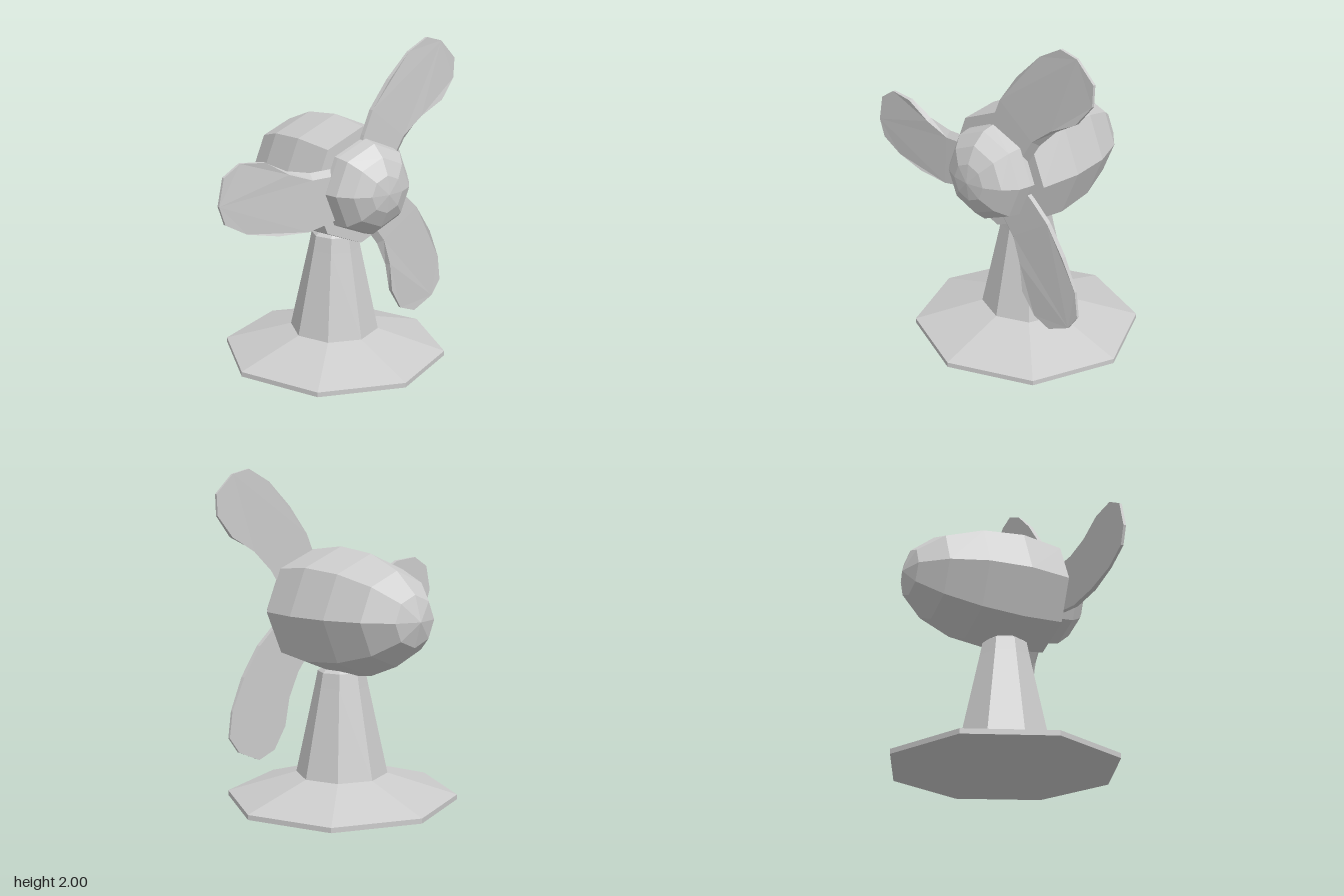
import * as THREE from 'three';

const AXIS_Y = 1.15, AXIS_Z = -0.147;
const material = new THREE.MeshStandardMaterial({ color: 0xcccccc, flatShading: true });

// Eight-sided turned part; profile pairs are [radius, height].
function turned(name, profile) {
  const points = profile.map(([r, h]) => new THREE.Vector2(r, h));
  const mesh = new THREE.Mesh(new THREE.LatheGeometry(points, 8), material);
  mesh.name = name;
  return mesh;
}

// Curved blade: thins towards the tip, with a bevel along the concave edge near the root.
function bladeGeometry() {
  const outline = [
    [-0.1, 0.13], [-0.24, 0.138], [-0.384, 0.138], [-0.548, 0.175], [-0.706, 0.254],
    [-0.865, 0.27], [-0.971, 0.206], [-1.005, 0.048], [-0.968, -0.063],
    [-0.828, -0.143], [-0.622, -0.19], [-0.41, -0.206], [-0.257, -0.18], [-0.1, -0.14],
  ];
  const shape = new THREE.Shape(outline.map(([x, y]) => new THREE.Vector2(x, y)));
  const geometry = new THREE.ExtrudeGeometry(shape, { depth: 1, bevelEnabled: false });
  const p = geometry.attributes.position;
  for (let i = 0; i < p.count; i++) {
    if (p.getZ(i) < 0.5) continue;
    const x = p.getX(i), y = p.getY(i);
    p.setZ(i, x < -0.8 ? 0.017 : 0.03);
    if (y > 0 && x > -0.65) p.setY(i, y - (x > -0.5 ? 0.038 : 0.015));
  }
  geometry.computeVertexNormals();
  return geometry;
}

export function createModel() {
  const model = new THREE.Group();
  model.name = 'deskFan';

  // Stand
  const base = turned('base', [[0, 0], [0.705, 0], [0.705, 0.03], [0.28, 0.16], [0, 0.16]]);
  const stem = turned('stem', [[0.28, 0.16], [0.163, 0.7], [0.145, 0.79], [0.11, 0.815], [0, 0.815]]);
  for (const part of [base, stem]) {
    part.position.z = AXIS_Z;
    model.add(part);
  }

  // Motor housing and hub, both turned around the horizontal axis
  const housing = turned('motorHousing', [
    [0, -0.685], [0.15, -0.637], [0.275, -0.487], [0.36, -0.265],
    [0.39, 0], [0.36, 0.265], [0, 0.265],
  ]);
  const hub = turned('hub', [
    [0, 0.266], [0.295, 0.27], [0.293, 0.298], [0.277, 0.375], [0.21, 0.453], [0.113, 0.503], [0, 0.52],
  ]);
  for (const part of [housing, hub]) {
    part.rotation.z = -Math.PI / 2;
    part.position.set(0, AXIS_Y, AXIS_Z);
    model.add(part);
  }

  // Blades, facing +x
  const blades = new THREE.Group();
  blades.name = 'blades';
  blades.position.set(0.265, AXIS_Y, AXIS_Z);
  blades.rotation.y = Math.PI / 2;
  const geometry = bladeGeometry();
  for (const degrees of [0, -123, 127.5]) {
    const blade = new THREE.Mesh(geometry, material);
    blade.name = 'blade';
    blade.rotation.z = THREE.MathUtils.degToRad(degrees);
    blades.add(blade);
  }
  model.add(blades);

  return model;
}
